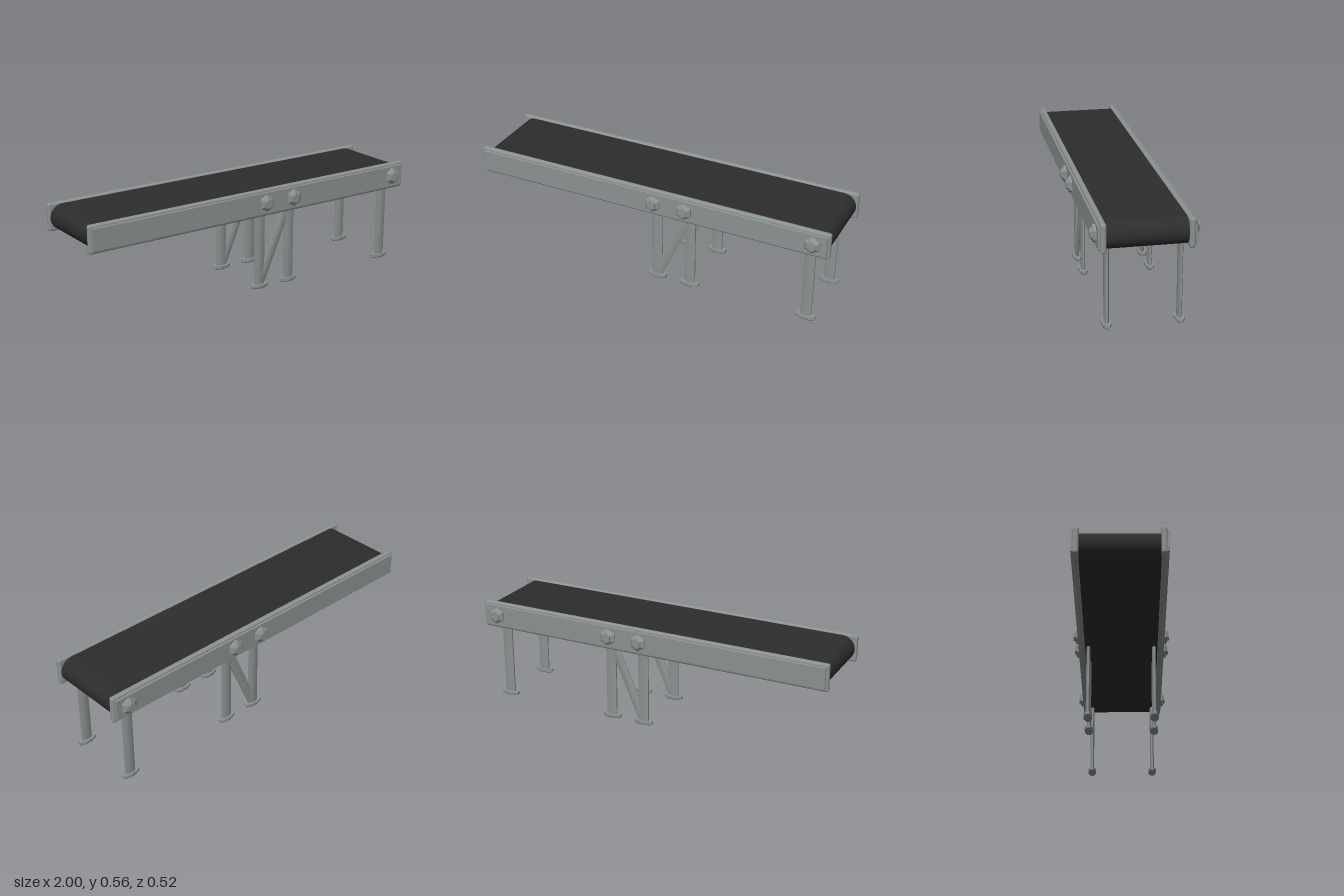
import * as THREE from 'three';
import { toCreasedNormals } from 'three/addons/utils/BufferGeometryUtils.js';
import { RoundedBoxGeometry } from 'three/addons/geometries/RoundedBoxGeometry.js';

export function createModel() {
  const metal = new THREE.MeshStandardMaterial({ color: 0x8c9291 });
  metal.name = 'grey metal';
  const rubber = new THREE.MeshStandardMaterial({ color: 0x2d2d2d });
  rubber.name = 'black rubber';

  const model = new THREE.Group();
  model.name = 'conveyor';

  function add(parent, name, geometry, material, x = 0, y = 0, z = 0) {
    const mesh = new THREE.Mesh(geometry, material);
    mesh.name = name;
    mesh.position.set(x, y, z);
    parent.add(mesh);
    return mesh;
  }

  // Belt: a long loop with round ends
  const r = 0.068, end = 0.922, width = 0.396;
  const loop = new THREE.Shape();
  loop.absarc(end, 0, r, -Math.PI / 2, Math.PI / 2, false);
  loop.absarc(-end, 0, r, Math.PI / 2, Math.PI * 1.5, false);
  loop.closePath();
  const beltGeometry = new THREE.ExtrudeGeometry(loop, { depth: width, bevelEnabled: false, curveSegments: 20 });
  add(model, 'belt', toCreasedNormals(beltGeometry, 0.6), rubber, 0, 0.483, -width / 2);

  // Eight-sided flattened bar standing along y
  function flatBar(rx, rz, height, bottomScale = 1) {
    const g = new THREE.CylinderGeometry(1, bottomScale, height, 8, 1, false, Math.PI / 8);
    const k = 1 / Math.cos(Math.PI / 8);
    g.scale(rx * k, 1, rz * k);
    return toCreasedNormals(g, 0.5);
  }

  // Bolt: hexagonal head, chamfer and small hexagonal end, pointing along +z
  function addBolt(parent, x) {
    const bolt = new THREE.Group();
    bolt.name = 'bolt';
    bolt.position.set(x, 0.488, 0);
    const hex = (name, back, front, z0, z1) => {
      const g = new THREE.CylinderGeometry(front, back, z1 - z0, 6);
      g.rotateX(Math.PI / 2);
      const m = new THREE.Mesh(toCreasedNormals(g, 0.3), metal);
      m.name = name;
      m.position.z = (z0 + z1) / 2;
      bolt.add(m);
    };
    hex('boltHead', 0.046, 0.046, 0.228, 0.244);
    hex('boltChamfer', 0.046, 0.028, 0.244, 0.255);
    hex('boltEnd', 0.025, 0.025, 0.25, 0.262);
    parent.add(bolt);
  }

  // Rail, bolts and legs, repeated on both sides
  for (const side of [1, -1]) {
    const half = new THREE.Group();
    half.name = side > 0 ? 'frontSide' : 'backSide';

    add(half, 'rail', new RoundedBoxGeometry(2, 0.148, 0.029, 3, 0.012), metal, 0, 0.486, 0.2105);
    add(half, 'railPanel', new RoundedBoxGeometry(1.972, 0.118, 0.02, 2, 0.003), metal, 0, 0.486, 0.225);
    for (const x of [0.04, 0.217, 0.912]) addBolt(half, x);

    for (const x of [0.038, 0.23, 0.887]) {
      add(half, 'leg', flatBar(0.029, 0.011, 0.42), metal, x, 0.225, 0.179);
      add(half, 'foot', flatBar(0.052, 0.022, 0.015), metal, x, 0.0125, 0.179);
      add(half, 'footSole', flatBar(0.052, 0.022, 0.005, 0.88), metal, x, 0.0025, 0.179);
    }

    // Diagonal brace between the two middle legs
    const a = new THREE.Vector2(0.045, 0.03), b = new THREE.Vector2(0.215, 0.425);
    const d = b.clone().sub(a);
    const brace = add(half, 'brace', flatBar(0.025, 0.009, d.length()), metal,
      (a.x + b.x) / 2, (a.y + b.y) / 2, 0.179);
    brace.rotation.z = -Math.atan2(d.x, d.y);

    // Mirror across z by turning each part in place; all parts are symmetric front to back except bolts
    if (side < 0) {
      for (const part of half.children) {
        if (part.name === 'bolt') {
          part.rotation.y = Math.PI;
        } else {
          part.position.z *= -1;
        }
      }
    }
    model.add(half);
  }

  return model;
}
